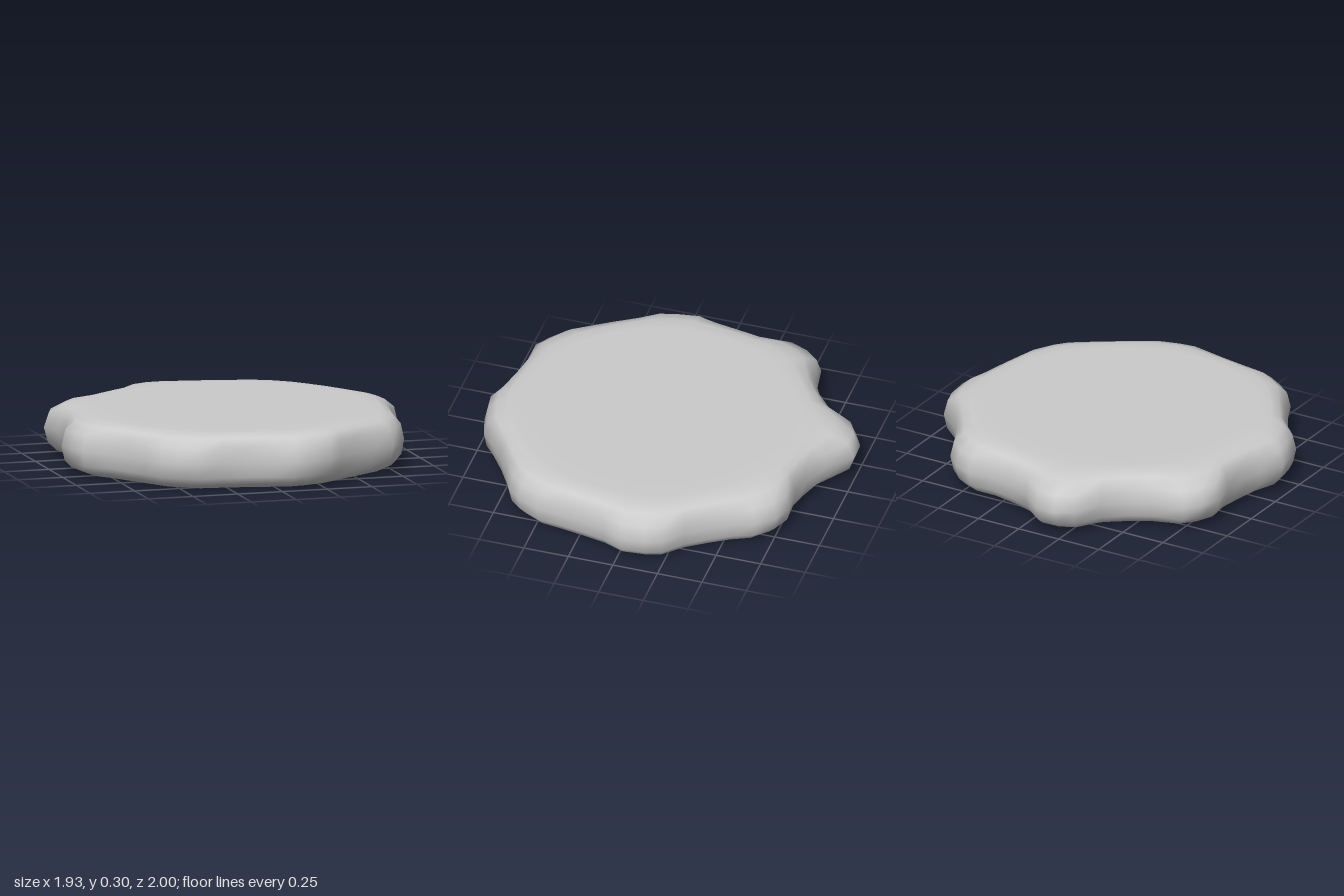
import * as THREE from 'three';

// Knobbly outline seen from above: x, z pairs, clockwise from the back
const OUTLINE = [
  -0.22, -1, -0.11, -1, 0.03, -0.88, 0.16, -0.83, 0.30, -0.80, 0.43, -0.81, 0.53, -0.77, 0.62, -0.68,
  0.66, -0.57, 0.73, -0.45, 0.81, -0.34, 0.92, -0.25, 0.95, -0.16, 0.96, -0.03, 0.90, 0.09, 0.87, 0.22,
  0.85, 0.35, 0.84, 0.48, 0.78, 0.60, 0.72, 0.67, 0.60, 0.73, 0.48, 0.80, 0.37, 0.88, 0.29, 0.95,
  0.17, 0.985, 0.07, 1, -0.03, 0.96, -0.16, 0.92, -0.31, 0.905, -0.45, 0.91, -0.53, 0.86, -0.62, 0.79,
  -0.67, 0.68, -0.74, 0.56, -0.82, 0.44, -0.92, 0.35, -0.95, 0.25, -0.97, 0.13, -0.91, 0, -0.885, -0.12,
  -0.87, -0.27, -0.90, -0.42, -0.86, -0.52, -0.79, -0.60, -0.62, -0.63, -0.49, -0.70, -0.39, -0.79, -0.31, -0.95,
];
const CENTRE_Z = 0.06; // centre of the flat disc
const DISC_RADIUS = 0.87; // radius between the bumps

// Rim section from top to bottom: height, inset, share of the bump removed
const SECTION = [
  [0.3, 0.24, 1],
  [0.3, 0.13, 1],
  [0.297, 0.07, 0.8],
  [0.28, 0.03, 0.5],
  [0.235, 0.01, 0.12],
  [0.15, 0, 0],
  [0.07, 0.01, 0.08],
  [0.03, 0.03, 0.25],
  [0.008, 0.06, 0.45],
  [0.002, 0.12, 0.9],
  [0, 0.24, 1],
];

function slabGeometry() {
  const count = OUTLINE.length / 2;
  const positions = [];
  const index = [];

  const addRing = (y, radiusAt) => {
    for (let i = 0; i < count; i++) {
      const x = OUTLINE[2 * i];
      const z = OUTLINE[2 * i + 1] - CENTRE_Z;
      const r = Math.hypot(x, z);
      const s = radiusAt(r) / r;
      positions.push(x * s, y, z * s + CENTRE_Z);
    }
  };

  // Flat top, rounded rim, flat underside
  addRing(0.3, () => 0);
  for (const [y, inset, flatten] of SECTION) {
    addRing(y, (r) => r - inset - flatten * Math.max(0, r - DISC_RADIUS));
  }
  addRing(0, () => 0);

  const rings = SECTION.length + 2;
  for (let k = 0; k < rings - 1; k++) {
    for (let i = 0; i < count; i++) {
      const j = (i + 1) % count;
      const a = k * count + i;
      const b = k * count + j;
      const c = a + count;
      const d = b + count;
      if (k > 0) index.push(a, b, d);
      if (k < rings - 2) index.push(a, d, c);
    }
  }

  const geometry = new THREE.BufferGeometry();
  geometry.setAttribute('position', new THREE.Float32BufferAttribute(positions, 3));
  geometry.setIndex(index);
  geometry.computeVertexNormals();
  return geometry;
}

export function createModel() {
  const group = new THREE.Group();
  group.name = 'knobblyDisc';
  const slab = new THREE.Mesh(slabGeometry(), new THREE.MeshStandardMaterial({ color: 0xcccccc }));
  slab.name = 'slab';
  group.add(slab);
  return group;
}
